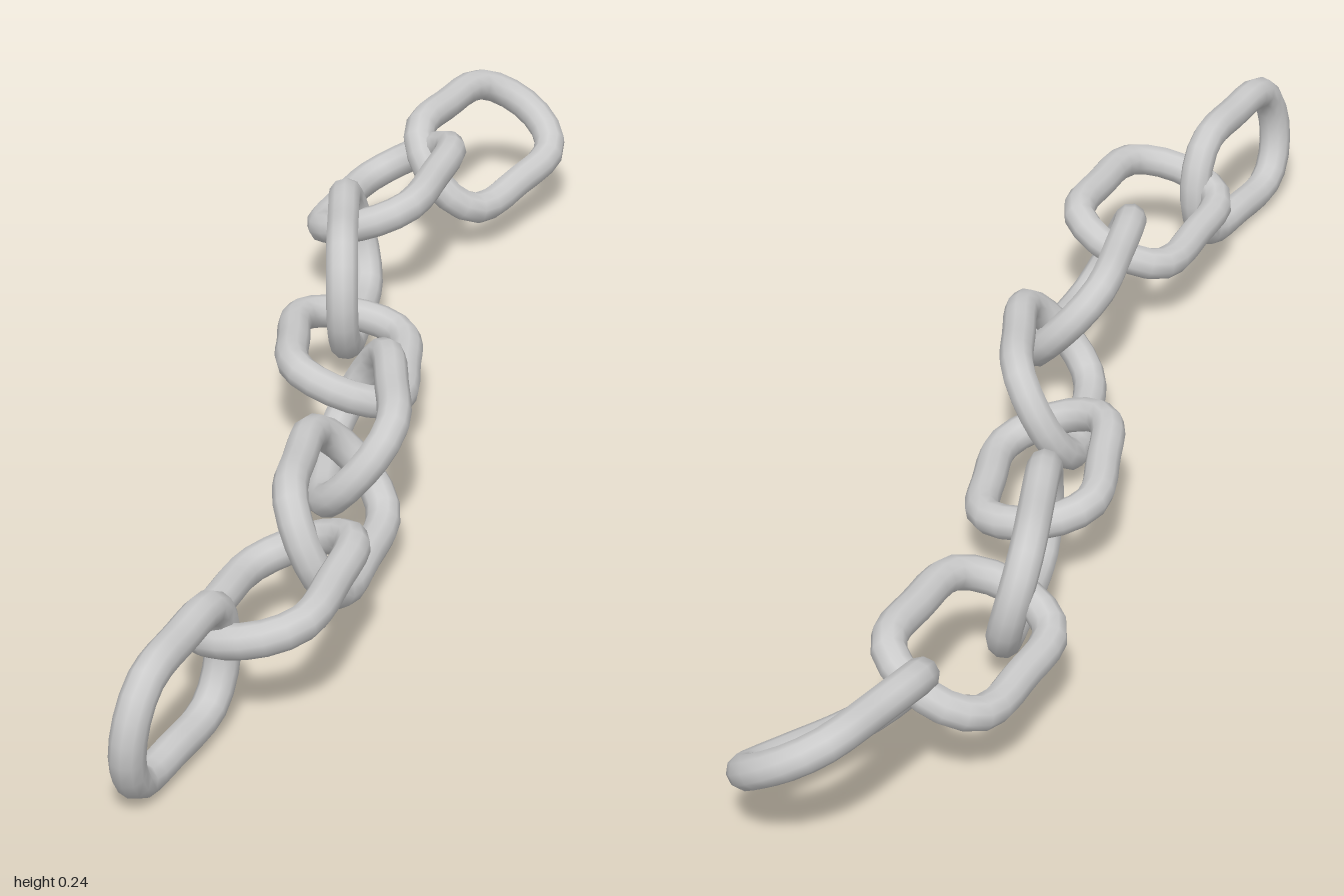
import * as THREE from 'three';

const ROD = 0.024;        // rod radius
const HALF_WIDTH = 0.082; // rod centre line to link axis
const END = 0.065;        // length of each rounded end

// Each link: front tip, back tip (rod centres), roll in degrees at front and back
const LINKS = [
  [[-0.105, 0.108, 0.974], [-0.04, 0.11, 0.709], 84, 88],
  [[-0.012, 0.135, 0.743], [0.03, 0.137, 0.464], 14, 24],
  [[0.03, 0.127, 0.498], [0.042, 0.128, 0.214], -66, -48],
  [[0.05, 0.117, 0.245], [0.002, 0.119, -0.033], 50, 62],
  [[-0.012, 0.115, 0.003], [-0.05, 0.109, -0.268], -20, -10],
  [[-0.06, 0.13, -0.235], [-0.087, 0.13, -0.519], 91, 104],
  [[-0.085, 0.146, -0.488], [-0.037, 0.15, -0.762], 20, 29],
  [[-0.005, 0.124, -0.722], [0.103, 0.148, -0.972], -50, -32],
];

// Outline of a link as [distance along axis, sideways offset]
function linkOutline(length) {
  const half = length / 2, straight = half - END, steps = 6, pts = [];
  for (const end of [1, -1]) {
    for (let i = 0; i <= steps; i++) {
      const a = -Math.PI / 2 + (Math.PI * i) / steps;
      pts.push([end * (straight + END * Math.cos(a)), end * HALF_WIDTH * Math.sin(a)]);
    }
    pts.push([0, end * HALF_WIDTH]);
  }
  return pts;
}

// Oval ring, slightly twisted along its axis
function makeLink([front, back, rollFront, rollBack], material) {
  const a = new THREE.Vector3(...front), b = new THREE.Vector3(...back);
  const length = a.distanceTo(b);
  const axis = b.clone().sub(a).normalize();
  const right = new THREE.Vector3().crossVectors(axis, new THREE.Vector3(0, 1, 0)).normalize();
  const up = new THREE.Vector3().crossVectors(right, axis);
  const points = linkOutline(length).map(([along, side]) => {
    const t = along / length + 0.5;
    const roll = THREE.MathUtils.degToRad(THREE.MathUtils.lerp(rollFront, rollBack, t));
    return a.clone().lerp(b, t)
      .addScaledVector(right, side * Math.cos(roll))
      .addScaledVector(up, side * Math.sin(roll));
  });
  const curve = new THREE.CatmullRomCurve3(points, true, 'centripetal');
  return new THREE.Mesh(new THREE.TubeGeometry(curve, 28, ROD, 10, true), material);
}

export function createModel() {
  const chain = new THREE.Group();
  chain.name = 'chain';
  const material = new THREE.MeshStandardMaterial({ color: 0xcccccc });
  LINKS.forEach((spec, i) => {
    const link = makeLink(spec, material);
    link.name = `chainLink${i + 1}`;
    chain.add(link);
  });
  return chain;
}
